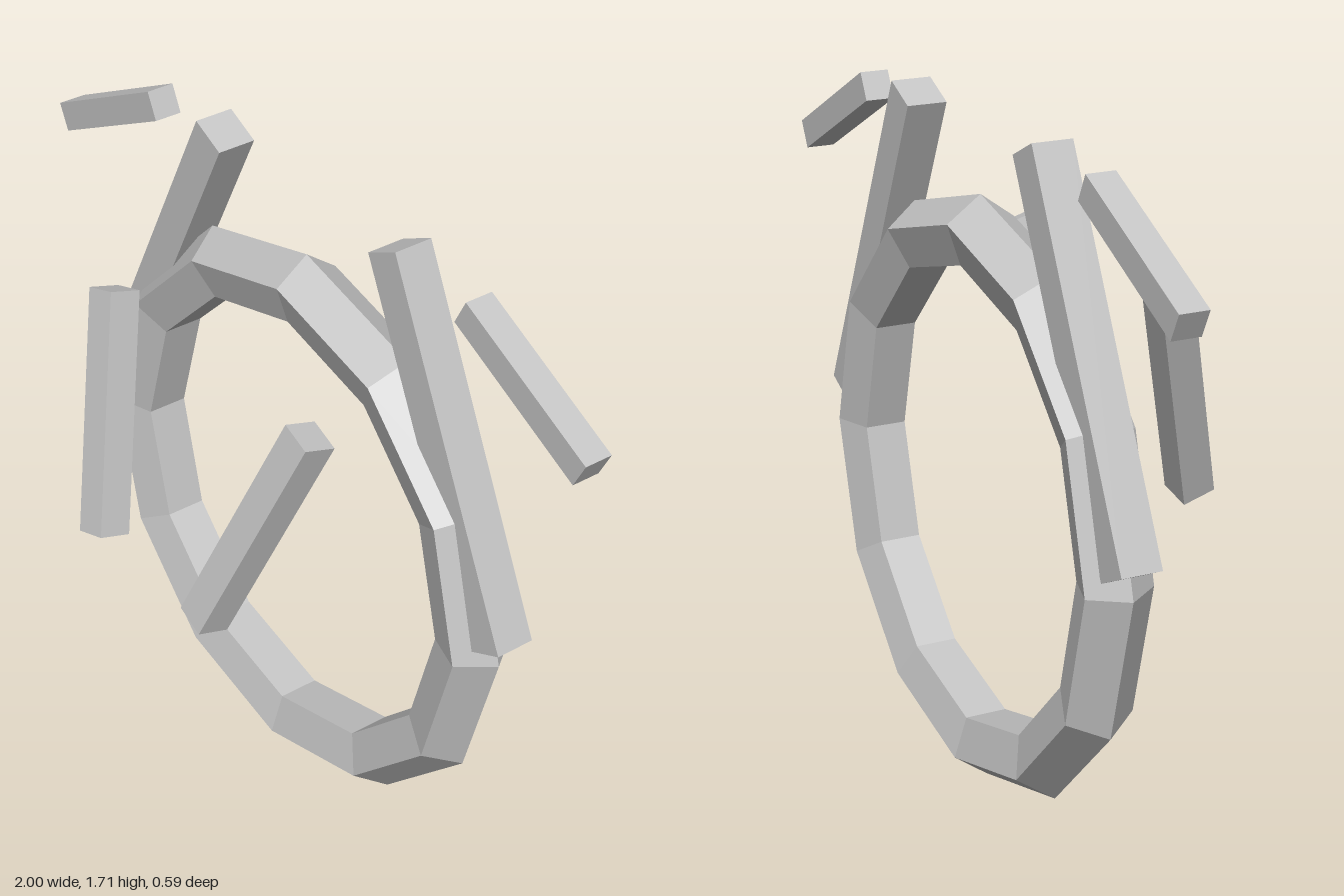
import * as THREE from 'three';

export function createModel() {
  const model = new THREE.Group();
  const grey = new THREE.MeshStandardMaterial({ color: 0xc4c4c4 });
  grey.name = 'lightGrey';

  // Faceted ring: twelve segments with a five-sided section, ridge outward
  const ringGeometry = new THREE.TorusGeometry(0.66, 0.092, 5, 12).toNonIndexed();
  ringGeometry.computeVertexNormals();
  const ring = new THREE.Mesh(ringGeometry, grey);
  ring.name = 'ring';
  ring.position.set(0, 0.753, -0.208);
  model.add(ring);

  // Square bar and its mirror image on the other side
  function addBarPair(name, thickness, length, [x, y, z], tiltX, tiltZ) {
    const geometry = new THREE.BoxGeometry(thickness, length, thickness);
    for (const side of [1, -1]) {
      const bar = new THREE.Mesh(geometry, grey);
      bar.name = (side > 0 ? 'left' : 'right') + name;
      bar.position.set(side * x, y, z);
      bar.rotation.set(tiltX, 0, side * tiltZ);
      model.add(bar);
    }
  }

  // Long bars leaning inward against the ring
  addBarPair('LongBar', 0.103, 0.97, [0.539, 1.25, -0.212], 0, 0.451);
  // Short floating bars, sloping down and outward
  addBarPair('ShortBar', 0.074, 0.451, [0.782, 1.553, -0.212], 0, 1.105);
  // Bars in front of the ring, leaning forward and inward at the foot
  addBarPair('FrontBar', 0.087, 0.61, [0.299, 1.043, 0.163], -0.295, -0.295);

  return model;
}
